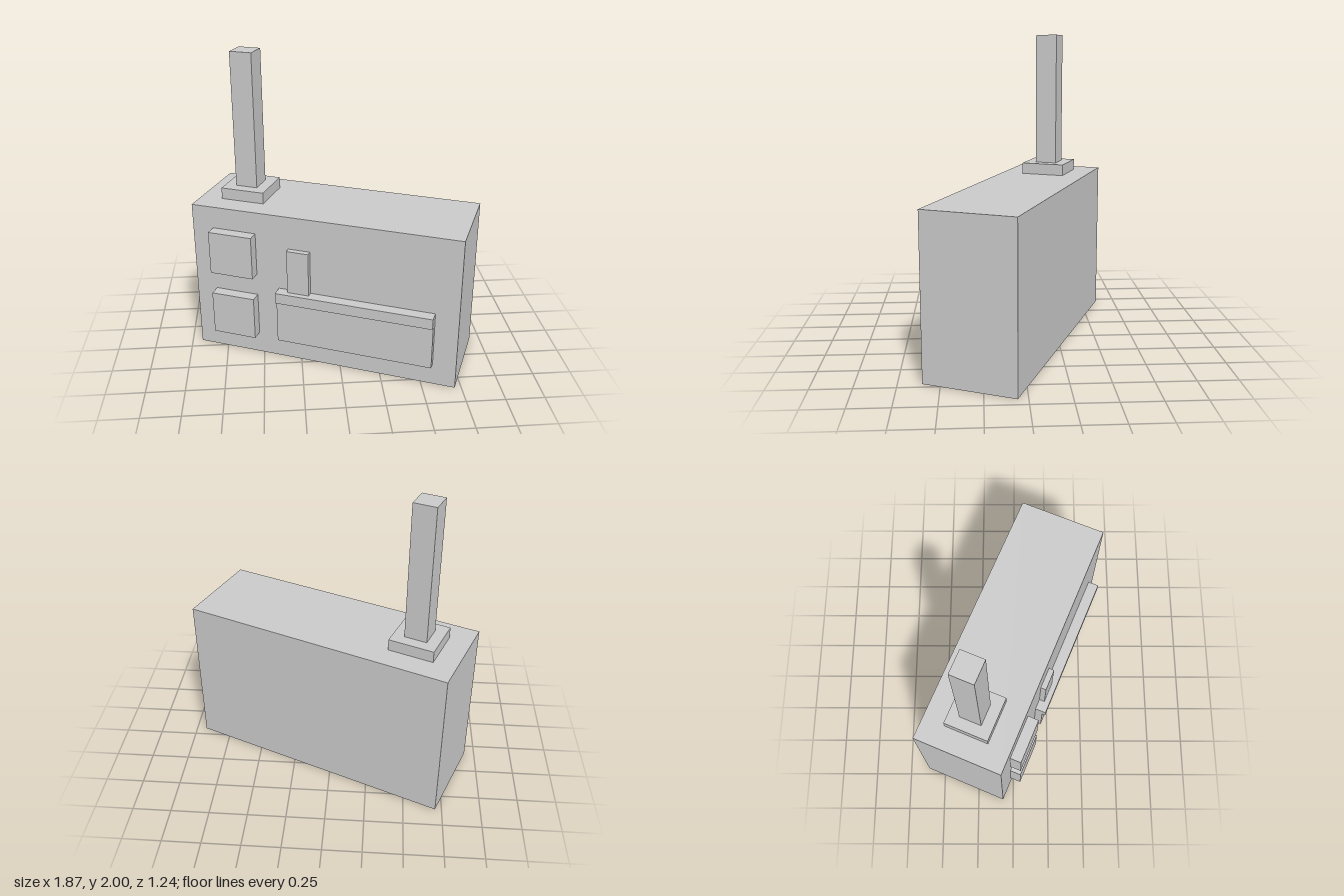
import * as THREE from 'three';

export function createModel() {
  const model = new THREE.Group();
  const material = new THREE.MeshStandardMaterial({ color: 0xcccccc, flatShading: true });

  // The whole block stands turned on its base
  const block = new THREE.Group();
  block.name = 'turnedBlock';
  block.rotation.y = -Math.PI / 8;
  block.position.z = -0.006;
  model.add(block);

  // Box given by its lower and upper limits on each axis
  const addBox = (name, [x0, x1], [y0, y1], [z0, z1]) => {
    const mesh = new THREE.Mesh(new THREE.BoxGeometry(x1 - x0, y1 - y0, z1 - z0), material);
    mesh.position.set((x0 + x1) / 2, (y0 + y1) / 2, (z0 + z1) / 2);
    mesh.name = name;
    block.add(mesh);
  };

  const wall = 0.295; // front face of the body
  const top = 1.037;
  addBox('body', [-0.888, 0.888], [0, top], [-wall, wall]);

  // Square post and its plinth on the roof
  const postX = -0.596;
  const addSquare = (name, size, y) =>
    addBox(name, [postX - size / 2, postX + size / 2], y, [-size / 2, size / 2]);
  addSquare('postPlinth', 0.293, [top, 1.112]);
  addSquare('post', 0.146, [1.112, 2]);

  // Two square panels, one above the other
  addBox('lowerPanel', [-0.746, -0.45], [0.15, 0.445], [wall, 0.369]);
  addBox('upperPanel', [-0.746, -0.45], [0.597, 0.89], [wall, 0.369]);

  // Counter with overhanging top and a small upright on it
  addBox('counter', [-0.297, 0.738], [0.15, 0.447], [wall, 0.346]);
  addBox('counterTop', [-0.297, 0.738], [0.447, 0.519], [wall, 0.369]);
  addBox('upright', [-0.225, -0.079], [0.519, 0.816], [wall, 0.332]);

  return model;
}
